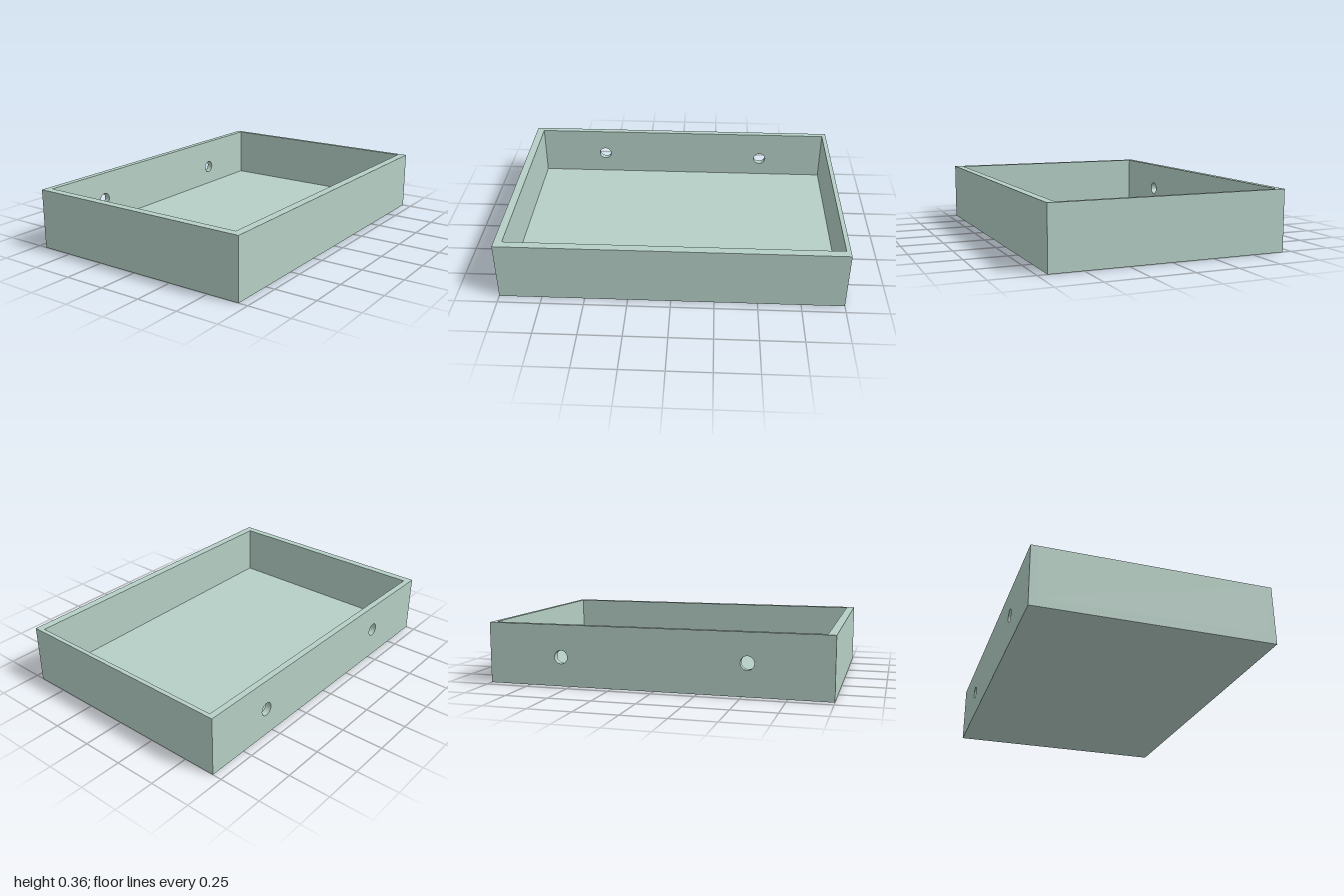
import * as THREE from 'three';

// Outer size
const X = 0.695, Z = 1, H = 0.357;
// Inner faces of the four walls and top of the floor
const LEFT = 0.646, RIGHT = -0.658, FRONT = 0.953, BACK = -0.974, FLOOR = 0.047;
// Cable holes in the right wall
const HOLES = [{ z: 0.53, y: 0.187 }, { z: -0.555, y: 0.17 }];
const HOLE_RADIUS = 0.039;

export function createModel() {
  const tray = new THREE.Group();
  tray.name = 'tray';
  const material = new THREE.MeshStandardMaterial({ color: 0xb5cfc5 });

  const add = (name, geometry) => {
    const mesh = new THREE.Mesh(geometry, material);
    mesh.name = name;
    tray.add(mesh);
    return mesh;
  };

  // Box given by its limits on each axis
  const block = (name, x0, x1, y0, y1, z0, z1) =>
    add(name, new THREE.BoxGeometry(x1 - x0, y1 - y0, z1 - z0))
      .position.set((x0 + x1) / 2, (y0 + y1) / 2, (z0 + z1) / 2);

  block('floor', -X, X, 0, FLOOR, -Z, Z);
  block('leftWall', LEFT, X, FLOOR, H, -Z, Z);
  block('frontWall', RIGHT, LEFT, FLOOR, H, FRONT, Z);
  block('backWall', RIGHT, LEFT, FLOOR, H, -Z, BACK);

  // Right wall with two round holes, drawn in the z-y plane
  const side = new THREE.Shape([
    new THREE.Vector2(-Z, FLOOR), new THREE.Vector2(Z, FLOOR),
    new THREE.Vector2(Z, H), new THREE.Vector2(-Z, H),
  ]);
  for (const { z, y } of HOLES) {
    side.holes.push(new THREE.Path().absarc(z, y, HOLE_RADIUS, 0, Math.PI * 2, true));
  }
  const wall = new THREE.ExtrudeGeometry(side, {
    depth: X + RIGHT, bevelEnabled: false, curveSegments: 32,
  });
  wall.rotateY(-Math.PI / 2).translate(RIGHT, 0, 0);
  add('rightWall', wall);

  return tray;
}
